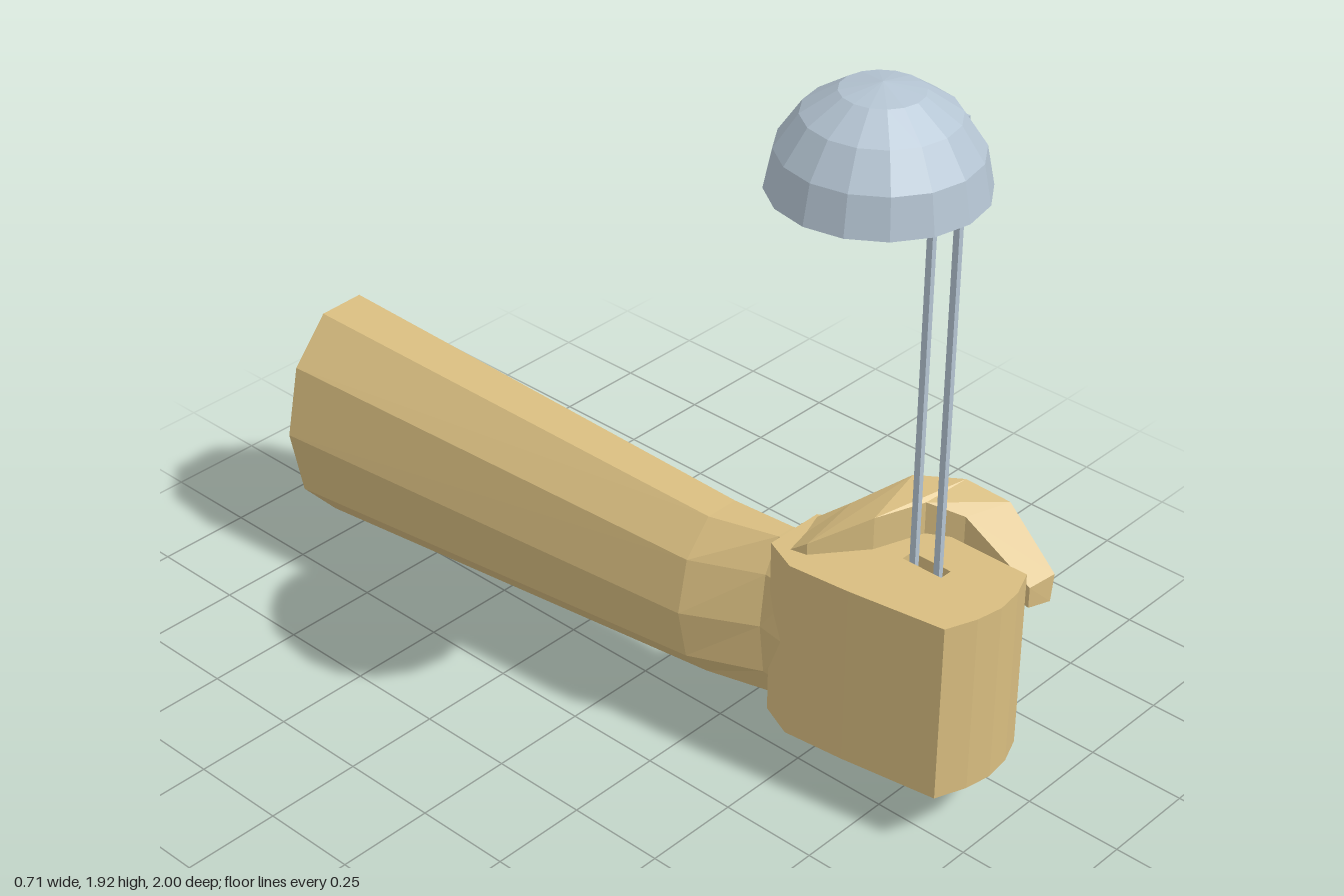
import * as THREE from 'three';

const skin = new THREE.MeshStandardMaterial({ color: 0xd8bd80, flatShading: true, side: THREE.DoubleSide });
const steel = new THREE.MeshStandardMaterial({ color: 0xb4c4d2, flatShading: true, side: THREE.DoubleSide });

// Skin a list of equal-length rings and close both ends
function loft(rings) {
  const n = rings[0].length, last = (rings.length - 1) * n, index = [];
  for (let i = 0; i < rings.length - 1; i++) {
    for (let j = 0; j < n; j++) {
      const a = i * n + j, b = i * n + (j + 1) % n;
      index.push(a, b, a + n, b, b + n, a + n);
    }
  }
  for (let j = 1; j < n - 1; j++) index.push(0, j + 1, j, last, last + j, last + j + 1);
  const geometry = new THREE.BufferGeometry();
  geometry.setAttribute('position', new THREE.Float32BufferAttribute(rings.flat(2), 3));
  geometry.setIndex(index);
  geometry.computeVertexNormals();
  return geometry;
}

const points = list => list.map(([x, y]) => new THREE.Vector2(x, y));

export function createModel() {
  const model = new THREE.Group();
  const add = (name, geometry, material) => {
    const mesh = new THREE.Mesh(geometry, material);
    mesh.name = name;
    model.add(mesh);
    return mesh;
  };

  // Ten-sided forearm narrowing to the wrist: z, centre x, radius x, centre y, radius y
  const armRings = [
    [-0.992, -0.075, 0.205, 0.393, 0.312],
    [0.26, -0.017, 0.148, 0.393, 0.234],
    [0.43, 0.015, 0.085, 0.39, 0.236],
    [0.53, 0.03, 0.12, 0.395, 0.236],
  ].map(([z, cx, rx, cy, ry], i) => Array.from({ length: 10 }, (_, j) => {
    const a = j * Math.PI / 5;
    const tilt = i === 0 ? -0.008 * Math.cos(a) : 0;
    return [cx + rx * Math.cos(a), cy + ry * Math.sin(a), z + tilt];
  }));
  add('forearm', loft(armRings), skin);

  // Fist: plan outline (x, -z) raised upwards, with a slot for the handle
  const fistShape = new THREE.Shape(points([
    [-0.05, -0.945], [0.03, -0.975], [0.1, -0.987], [0.17, -0.978], [0.24, -0.95],
    [0.24, -0.635], [0.175, -0.58], [0.1, -0.45], [-0.06, -0.45], [-0.1, -0.54], [-0.085, -0.7],
  ]));
  fistShape.holes.push(new THREE.Path(points([
    [0.098, -0.818], [0.098, -0.707], [0.132, -0.707], [0.132, -0.818],
  ])));
  const fist = new THREE.ExtrudeGeometry(fistShape, { depth: 0.473, bevelEnabled: false });
  fist.rotateX(-Math.PI / 2).translate(0, 0.157, 0);
  add('fist', fist, skin);

  // Thumb: outer x, outer z, inner x, inner z, top, bottom
  const thumbRings = [
    [0.07, 0.43, -0.06, 0.45, 0.61, 0.5],
    [0.14, 0.52, -0.04, 0.54, 0.675, 0.56],
    [0.26, 0.6, 0.08, 0.635, 0.73, 0.62],
    [0.33, 0.7, 0.21, 0.68, 0.73, 0.62],
    [0.355, 0.81, 0.255, 0.76, 0.705, 0.575],
    [0.32, 0.97, 0.255, 0.95, 0.6, 0.53],
  ].map(([ox, oz, ix, iz, top, bottom]) => [
    [ox - 0.01, bottom, oz], [ox, top, oz], [ix, top - 0.015, iz], [ix, bottom, iz],
  ]);
  add('thumb', loft(thumbRings), skin);

  // Handle: flat strip with a long opening, leaving two rods
  const strip = new THREE.Shape(points([[0.72, 0.052], [0.805, 0.052], [0.805, 1.775], [0.72, 1.775]]));
  const opening = new THREE.Path();
  opening.moveTo(0.736, 1.67);
  opening.lineTo(0.736, 0.095);
  opening.absarc(0.7625, 0.095, 0.0265, Math.PI, 2 * Math.PI, false);
  opening.lineTo(0.789, 1.67);
  strip.holes.push(opening);
  const handle = new THREE.ExtrudeGeometry(strip, { depth: 0.014, bevelEnabled: false, curveSegments: 4 });
  handle.rotateY(-Math.PI / 2).translate(0.12, 0, 0);
  add('handle', handle, steel);

  // Curled hook at the foot of the handle
  const curl = new THREE.Shape();
  curl.absarc(0.158, 0.052, 0.052, Math.PI, 2 * Math.PI - 0.05, false);
  curl.absarc(0.158, 0.052, 0.038, 2 * Math.PI - 0.05, Math.PI, true);
  const hook = new THREE.ExtrudeGeometry(curl, { depth: 0.085, bevelEnabled: false, curveSegments: 7 });
  hook.translate(0, 0, 0.72);
  add('hook', hook, steel);

  // Upturned hollow bowl
  const bowl = new THREE.SphereGeometry(0.236, 16, 4, 0, 2 * Math.PI, 0, Math.PI / 2);
  add('bowl', bowl, steel).position.set(-0.12, 1.688, 0.762);

  return model;
}
